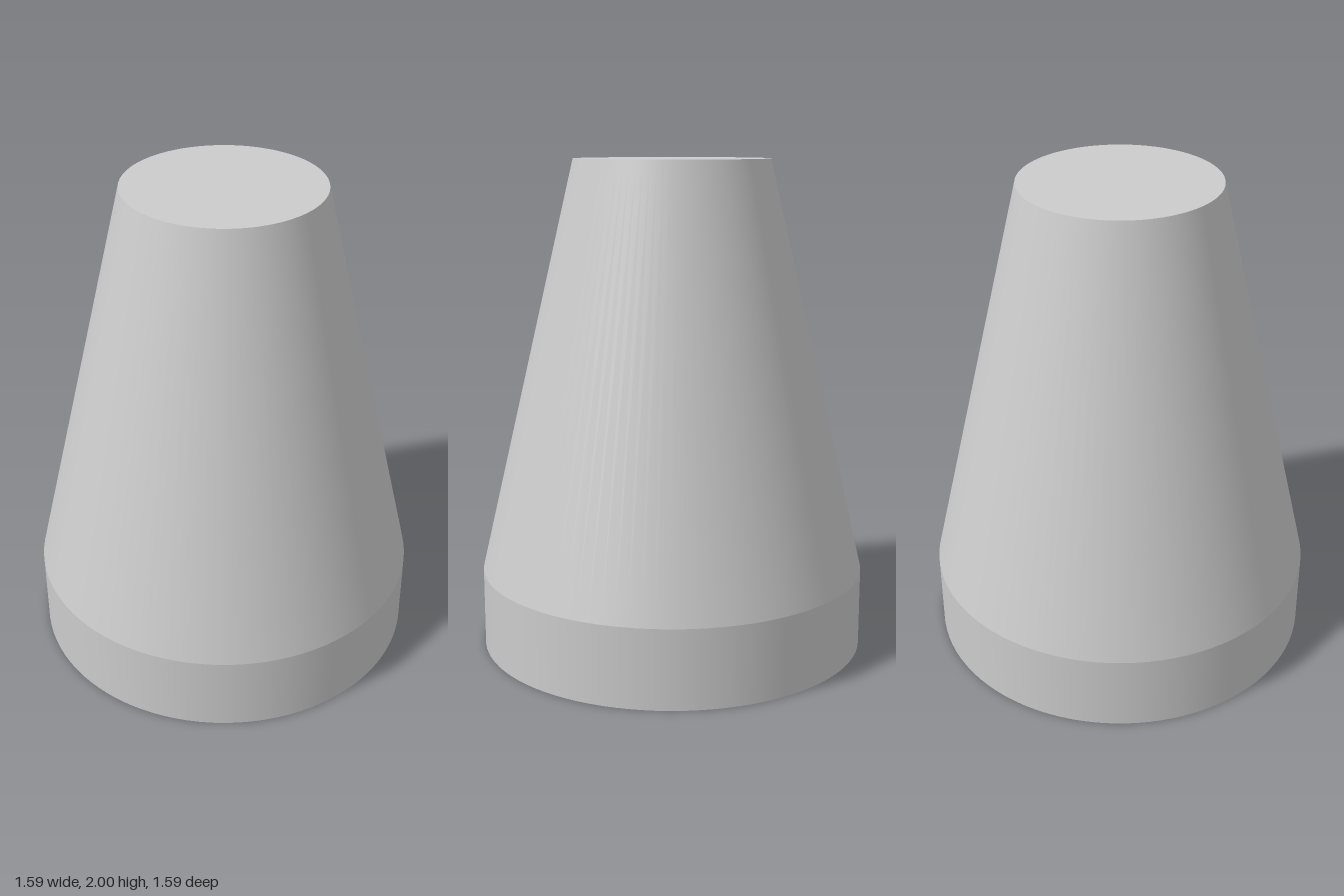
import * as THREE from 'three';

const BASE_R = 0.793, TOP_R = 0.396, BASE_H = 0.32, HEIGHT = 2, SIDES = 96;

export function createModel() {
  const group = new THREE.Group();
  const material = new THREE.MeshStandardMaterial({ color: 0xcccccc });

  function add(name, geometry, y, tilt = 0) {
    const mesh = new THREE.Mesh(geometry, material);
    mesh.name = name;
    mesh.position.y = y;
    mesh.rotation.x = tilt;
    group.add(mesh);
  }

  // Open walls: upright base band and tapering body, meeting at a crisp edge
  const coneH = HEIGHT - BASE_H;
  add('baseBand', new THREE.CylinderGeometry(BASE_R, BASE_R, BASE_H, SIDES, 1, true), BASE_H / 2);
  add('taperedBody', new THREE.CylinderGeometry(TOP_R, BASE_R, coneH, SIDES, 1, true), BASE_H + coneH / 2);

  // Flat end discs, facing up and down
  add('topDisc', new THREE.CircleGeometry(TOP_R, SIDES), HEIGHT, -Math.PI / 2);
  add('bottomDisc', new THREE.CircleGeometry(BASE_R, SIDES), 0, Math.PI / 2);

  return group;
}
